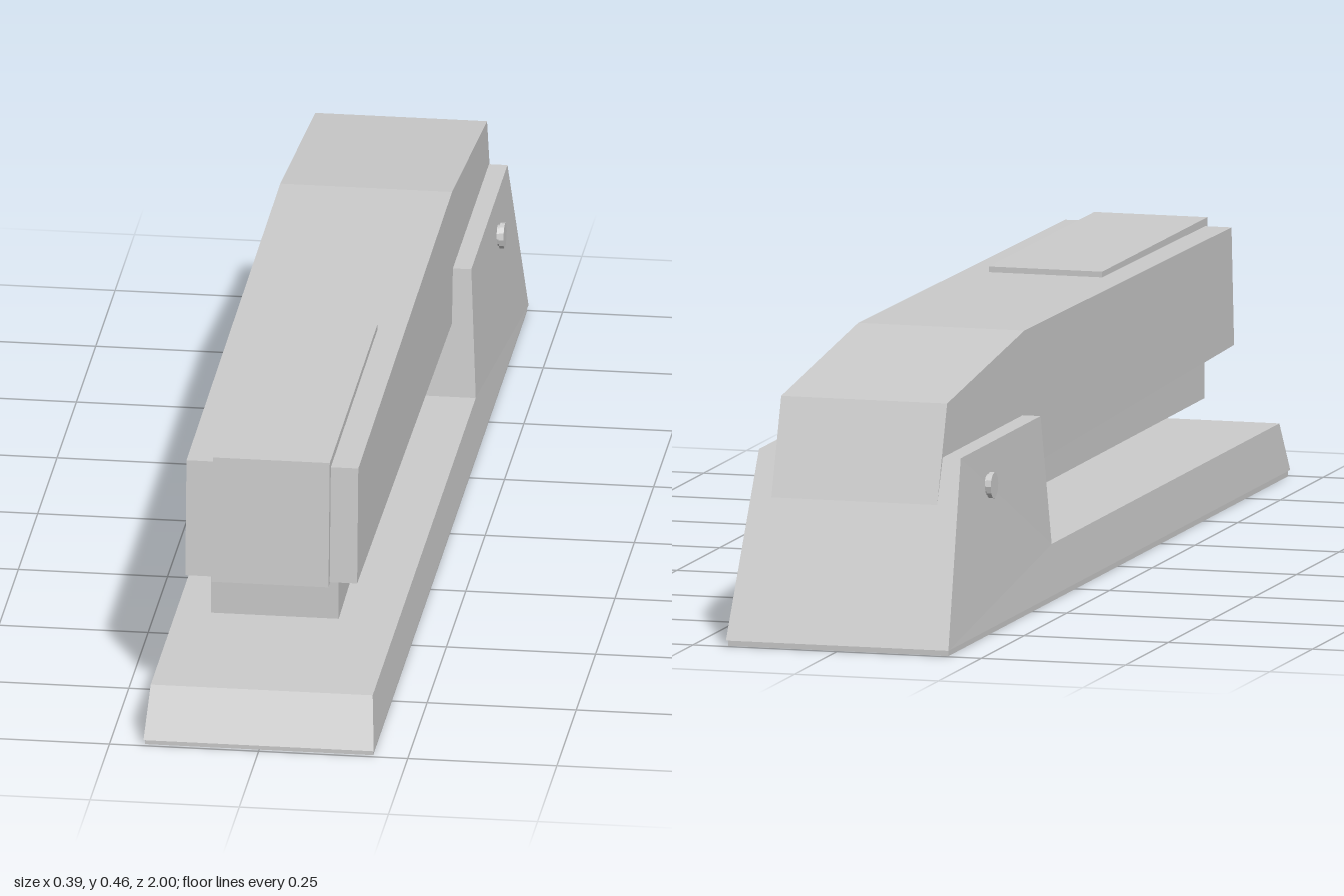
import * as THREE from 'three';

const material = new THREE.MeshStandardMaterial({ color: 0xcccccc, flatShading: true });

// Extrudes a side profile of [z, y] points across x; halfWidth(y, z) sets the taper.
function profilePart(name, points, halfWidth) {
  const shape = new THREE.Shape(points.map(([z, y]) => new THREE.Vector2(z, y)));
  const geometry = new THREE.ExtrudeGeometry(shape, { depth: 2, bevelEnabled: false });
  geometry.translate(0, 0, -1).rotateY(-Math.PI / 2);
  const pos = geometry.attributes.position;
  for (let i = 0; i < pos.count; i++) {
    pos.setX(i, Math.sign(pos.getX(i)) * halfWidth(pos.getY(i), pos.getZ(i)));
  }
  geometry.computeVertexNormals();
  const mesh = new THREE.Mesh(geometry, material);
  mesh.name = name;
  return mesh;
}

export function createModel() {
  const model = new THREE.Group();
  model.name = 'stapler';

  // Thin sole under the base
  const sole = new THREE.Mesh(new THREE.BoxGeometry(0.382, 0.012, 1.985), material);
  sole.name = 'sole';
  sole.position.y = 0.006;
  model.add(sole);

  // Base with the raised hinge block at the back, narrowing upward
  model.add(profilePart('base', [
    [1, 0.01], [0.96, 0.094], [-0.372, 0.094], [-0.4, 0.313], [-0.867, 0.313], [-1, 0.01],
  ], (y) => (y < 0.094
    ? THREE.MathUtils.mapLinear(y, 0.01, 0.094, 0.193, 0.186)
    : THREE.MathUtils.mapLinear(y, 0.094, 0.313, 0.186, 0.175))));

  // Staple magazine, slightly narrower toward the back
  model.add(profilePart('magazine', [
    [0.79, 0.159], [0.79, 0.3], [-0.5, 0.3], [-0.5, 0.146],
  ], (y, z) => THREE.MathUtils.mapLinear(z, -0.38, 0.79, 0.088, 0.107)));

  // Upper arm
  model.add(profilePart('arm', [
    [0.837, 0.243], [0.822, 0.443], [-0.39, 0.454], [-0.842, 0.4], [-0.9, 0.238], [-0.39, 0.219],
  ], () => 0.144));

  // Press pad folded over the front of the arm
  model.add(profilePart('pressPad', [
    [0.22, 0.43], [0.22, 0.458], [0.836, 0.456], [0.853, 0.24], [0.825, 0.24], [0.81, 0.43],
  ], () => 0.098));

  // Hinge pins with wider heads on both sides
  for (const [side, label] of [[1, 'left'], [-1, 'right']]) {
    const pin = new THREE.Group();
    pin.name = `${label}HingePin`;
    for (const [name, radius, from, to] of [['pinShaft', 0.018, 0.15, 0.183], ['pinHead', 0.022, 0.182, 0.19]]) {
      const part = new THREE.Mesh(new THREE.CylinderGeometry(radius, radius, to - from, 12), material);
      part.name = name;
      part.rotation.z = Math.PI / 2;
      part.position.set(side * (from + to) / 2, 0.246, -0.72);
      pin.add(part);
    }
    model.add(pin);
  }
  return model;
}
